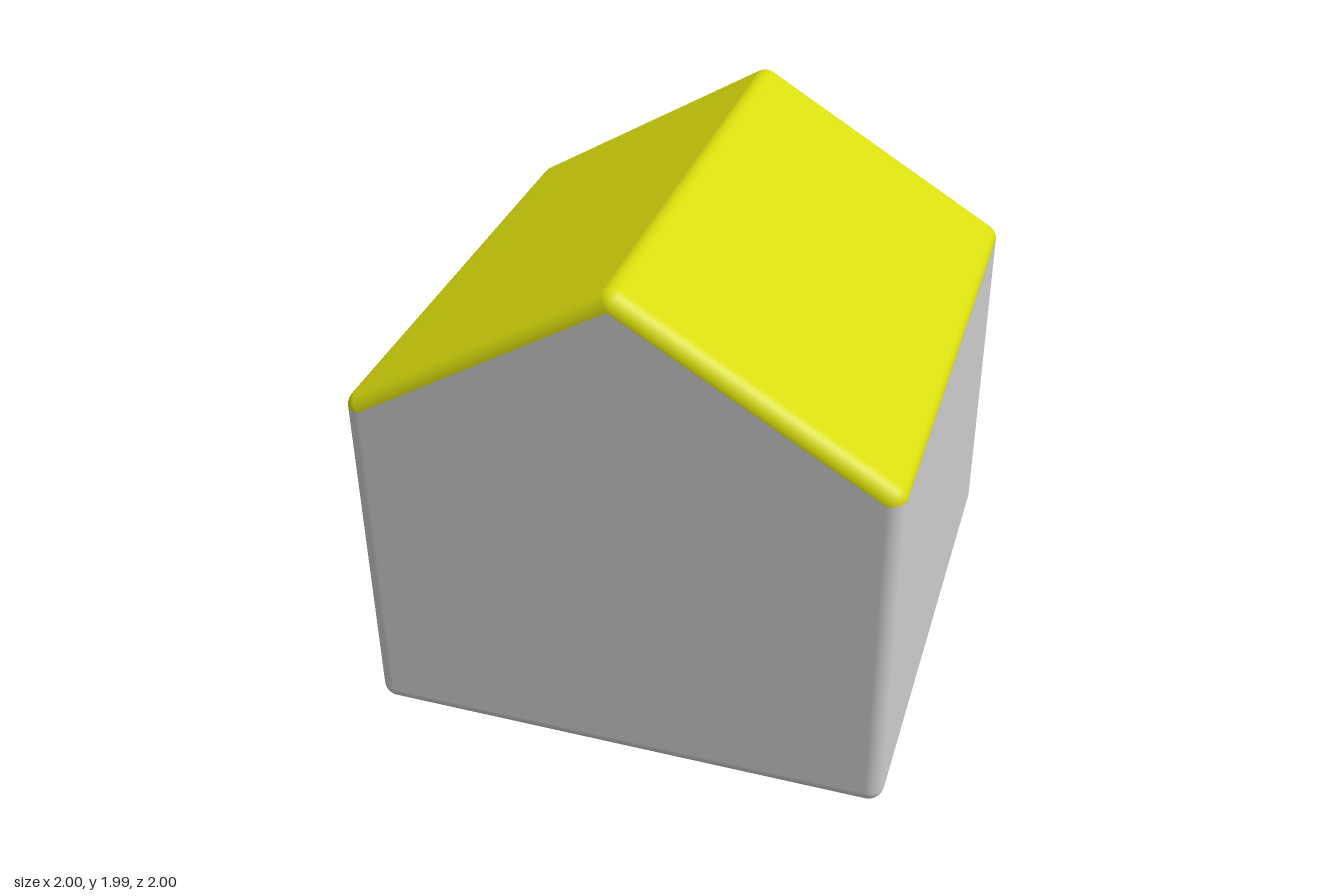
import * as THREE from 'three';

const R = 0.06; // edge rounding
const DEPTH = 0.94; // half depth before rounding
const EAVE = [0.94, 1.36], APEX = [0, 1.925], FOOT = [0.94, 0.06];
const SLOPE = Math.atan2(EAVE[0], APEX[1] - EAVE[1]); // angle of the roof normal
const STEPS = 8;

// Rounded corner: centre plus the sweep of its outward normal
function corner([x, y], from, to) {
  return Array.from({ length: STEPS + 1 }, (_, i) => ({ x, y, angle: from + (to - from) * i / STEPS }));
}

// Sweep a profile from front to back, rounding over at both ends
function shell(profile) {
  const pos = [], norm = [], index = [], n = profile.length;
  const rings = [];
  for (let i = 0; i <= STEPS; i++) rings.push([DEPTH, Math.PI / 2 * (1 - i / STEPS)]);
  for (let i = 0; i <= STEPS; i++) rings.push([-DEPTH, -Math.PI / 2 * i / STEPS]);
  rings.forEach(([z, tilt], i) => {
    profile.forEach((p, j) => {
      const nx = Math.cos(tilt) * Math.cos(p.angle);
      const ny = Math.cos(tilt) * Math.sin(p.angle);
      const nz = Math.sin(tilt);
      pos.push(p.x + R * nx, p.y + R * ny, z + R * nz);
      norm.push(nx, ny, nz);
      if (i < rings.length - 1 && j < n - 1) {
        const a = i * n + j, b = a + 1, c = a + n, d = c + 1;
        index.push(a, c, b, b, c, d);
      }
    });
  });
  const geo = new THREE.BufferGeometry();
  geo.setAttribute('position', new THREE.Float32BufferAttribute(pos, 3));
  geo.setAttribute('normal', new THREE.Float32BufferAttribute(norm, 3));
  geo.setIndex(index);
  return geo;
}

export function createModel() {
  const house = new THREE.Group();
  house.name = 'house';
  const wallMat = new THREE.MeshStandardMaterial({ color: 0xcccccc });
  const roofMat = new THREE.MeshStandardMaterial({ color: 0xd8dc0c });
  const add = (name, geo, mat) => {
    const mesh = new THREE.Mesh(geo, mat);
    mesh.name = name;
    house.add(mesh);
    return mesh;
  };
  const mirror = ([x, y]) => [-x, y];
  const PI = Math.PI;

  // Roof: eave, ridge, eave
  add('roof', shell([
    ...corner(EAVE, 0, SLOPE),
    ...corner(APEX, SLOPE, PI - SLOPE),
    ...corner(mirror(EAVE), PI - SLOPE, PI),
  ]), roofMat);

  // Side walls and floor
  add('sideWallsAndFloor', shell([
    { x: -EAVE[0], y: EAVE[1], angle: PI },
    ...corner(mirror(FOOT), PI, 1.5 * PI),
    ...corner(FOOT, 1.5 * PI, 2 * PI),
    { x: EAVE[0], y: EAVE[1], angle: 2 * PI },
  ]), wallMat);

  // Flat gable walls
  const outline = [FOOT, EAVE, APEX, mirror(EAVE), mirror(FOOT)];
  const gable = new THREE.ShapeGeometry(new THREE.Shape(outline.map(p => new THREE.Vector2(...p))));
  gable.translate(0, 0, DEPTH + R);
  add('frontGable', gable, wallMat);
  add('backGable', gable, wallMat).rotation.y = PI;

  return house;
}
